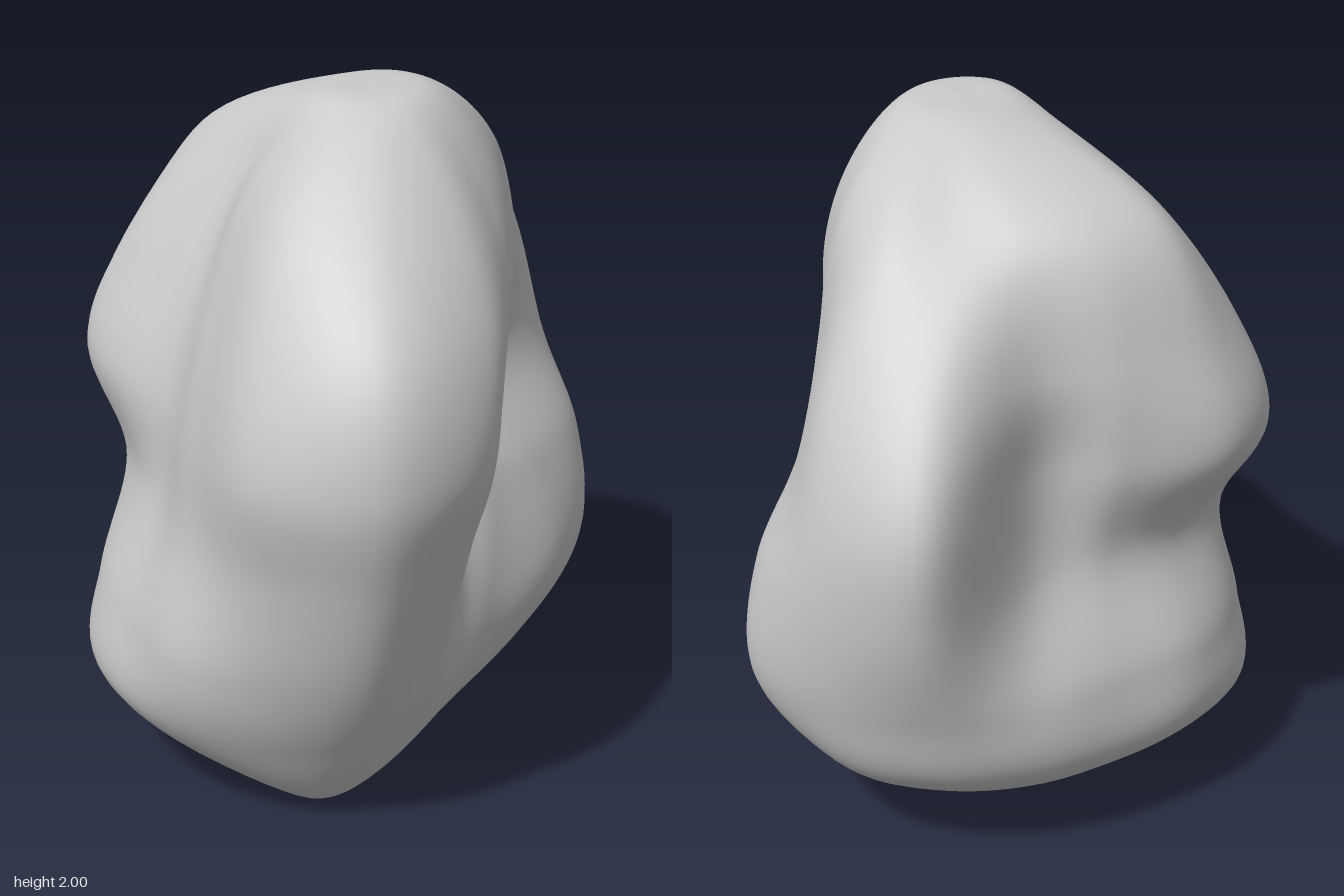
import * as THREE from 'three';
import { mergeVertices } from 'three/addons/utils/BufferGeometryUtils.js';

// Main body: height and radii every 22.5 degrees, from +x towards the front
const SECTIONS = [
  { y: 0.30, r: [.38, .37, .42, .58, .63, .67, .70, .73, .73, .67, .63, .64, .67, .69, .62, .48] },
  { y: 0.55, r: [.43, .39, .53, .73, .74, .74, .69, .71, .72, .69, .65, .69, .78, .81, .79, .61] },
  { y: 0.88, r: [.41, .37, .65, .86, .81, .68, .58, .60, .66, .60, .55, .57, .88, .86, .76, .54] },
  { y: 1.17, r: [.32, .39, .76, .94, .87, .65, .55, .64, .78, .76, .62, .55, .90, .83, .61, .38] },
  { y: 1.45, r: [.45, .53, .73, .89, .79, .57, .47, .52, .68, .70, .62, .57, .76, .73, .54, .45] },
  { y: 1.78, r: [.39, .42, .52, .60, .56, .40, .31, .33, .43, .53, .51, .47, .45, .49, .44, .39] },
];
// Rounded ends: an ellipse just inside each tip
const FOOT = { y: 0.03, x: 0.11, z: 0.12, rx: 0.14, rz: 0.29 };
const CROWN = { y: 1.98, x: 0.18, z: 0.08, rx: 0.16, rz: 0.21 };
const AXIS_X = 0.1;
const SPOKES = 16;
const ROWS = 96;
const COLS = 128;

// Smooth vertical contour from the lower tip to the upper tip
function contour(k) {
  const a = (k / SPOKES) * Math.PI * 2;
  const at = (x, y, z, rx, rz) =>
    new THREE.Vector3(x + rx * Math.cos(a), y, z + rz * Math.sin(a));
  const onEllipse = (e) => at(e.x, e.y, e.z, e.rx, e.rz);
  return new THREE.CatmullRomCurve3([
    at(FOOT.x, 0, FOOT.z, 0, 0),
    onEllipse(FOOT),
    ...SECTIONS.map(({ y, r }) => at(AXIS_X, y, 0, r[k], r[k])),
    onEllipse(CROWN),
    at(CROWN.x, 2, CROWN.z, 0, 0),
  ]);
}

// Skin of closed smooth loops through the contours
function rockGeometry() {
  const contours = Array.from({ length: SPOKES }, (_, k) => contour(k));
  const positions = [];
  const index = [];
  for (let i = 0; i <= ROWS; i++) {
    const loop = new THREE.CatmullRomCurve3(
      contours.map((c) => c.getPoint(i / ROWS)), true, 'catmullrom', 0.5);
    for (let j = 0; j < COLS; j++) {
      positions.push(...loop.getPoint(j / COLS).toArray());
      if (i === ROWS) continue;
      const a = i * COLS + j;
      const b = i * COLS + ((j + 1) % COLS);
      index.push(a, a + COLS, b, b, a + COLS, b + COLS);
    }
  }
  const geometry = new THREE.BufferGeometry();
  geometry.setAttribute('position', new THREE.Float32BufferAttribute(positions, 3));
  geometry.setIndex(index);
  // Weld the tips so the shading stays smooth
  const welded = mergeVertices(geometry, 1e-5);
  welded.computeVertexNormals();
  return welded;
}

export function createModel() {
  const group = new THREE.Group();
  group.name = 'boulder';
  const rock = new THREE.Mesh(rockGeometry(), new THREE.MeshStandardMaterial({ color: 0xcccccc }));
  rock.name = 'rock';
  group.add(rock);
  return group;
}
